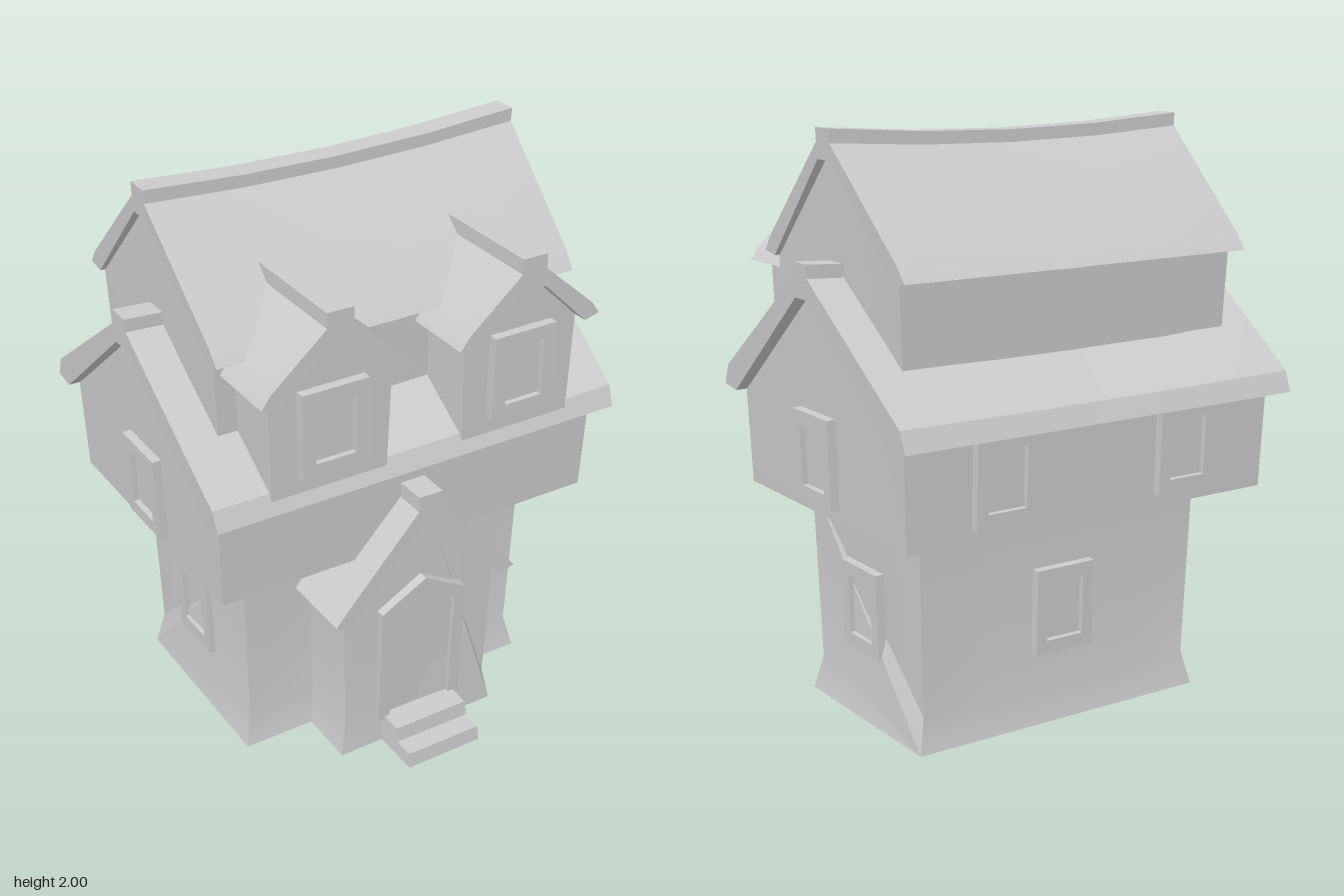
import * as THREE from 'three';
import { toCreasedNormals } from 'three/addons/utils/BufferGeometryUtils.js';

const grey = new THREE.MeshStandardMaterial({ color: 0xcccccc });
const CENTRE_Z = -0.08;

// Closed outline from the right-hand half of a symmetric profile, listed bottom to top
const mirrored = (half) => [...half, ...half.map(([x, y]) => [-x, y]).reverse()];
const shapeOf = (pts) => new THREE.Shape(pts.map(([x, y]) => new THREE.Vector2(x, y)));

// Piecewise linear lookup in a table of [y, value]
function lookup(table, y) {
  let i = 1;
  while (i < table.length - 1 && y > table[i][0]) i++;
  const [y0, a] = table[i - 1], [y1, b] = table[i];
  return a + ((b - a) * (y - y0)) / (y1 - y0);
}

// Prism along z: half length varies with height, and the ridge may sag in the middle
function prism(name, pts, lengths, sag = 0) {
  const geo = new THREE.ExtrudeGeometry(shapeOf(pts), { depth: 2, steps: 4, bevelEnabled: false });
  geo.translate(0, 0, -1);
  const ys = pts.map((p) => p[1]);
  const low = Math.min(...ys), high = Math.max(...ys);
  const pos = geo.attributes.position;
  for (let i = 0; i < pos.count; i++) {
    const y = pos.getY(i), t = pos.getZ(i);
    pos.setZ(i, t * lookup(lengths, y));
    pos.setY(i, y - sag * (1 - t * t) * ((y - low) / (high - low)));
  }
  const mesh = new THREE.Mesh(toCreasedNormals(geo, 0.3), grey);
  mesh.name = name;
  return mesh;
}

// Roof slab with a raised ridge cap; outer runs eave to ridge, inner runs ridge to eave
function roof(name, outer, inner, lengths, sag) {
  const left = outer.map(([x, y]) => [-x, y]).reverse();
  const under = inner.map(([x, y]) => [-x, y]).reverse();
  return prism(name, [...outer, ...left, ...under, ...inner], lengths, sag);
}

// Raised frame around a recessed panel, facing +z
function framedPanel(name, outer, inner, depth, recess) {
  const group = new THREE.Group();
  group.name = name;
  const ring = shapeOf(outer);
  ring.holes.push(shapeOf(inner));
  const add = (label, shape, d) => {
    const m = new THREE.Mesh(new THREE.ExtrudeGeometry(shape, { depth: d, bevelEnabled: false }), grey);
    m.name = label;
    group.add(m);
  };
  add('frame', ring, depth);
  add('panel', shapeOf(inner), depth - recess);
  return group;
}

const rect = (w, h) => [[w / 2, -h / 2], [w / 2, h / 2], [-w / 2, h / 2], [-w / 2, -h / 2]];

// Window sunk 0.02 into the wall at the given point, turned about y and leaning with the wall
function windowAt(name, x, y, z, turn, lean, w = 0.23) {
  const g = framedPanel(name, rect(w, 0.3), rect(0.145, 0.205), 0.05, 0.02);
  g.rotation.set(lean, turn, 0, 'YXZ');
  g.position.set(x - 0.02 * Math.sin(turn), y, z - 0.02 * Math.cos(turn));
  return g;
}

export function createModel() {
  const house = new THREE.Group();
  house.name = 'house';

  // Main storeys and roofs run along x
  const along = (mesh, z = CENTRE_Z) => {
    mesh.rotation.y = Math.PI / 2;
    mesh.position.z = z;
    house.add(mesh);
  };
  along(prism('groundStorey', mirrored([[0.36, 0], [0.335, 0.12], [0.35, 0.76]]),
    [[0, 0.567], [0.12, 0.54], [0.76, 0.56]]), -0.07);
  along(prism('middleStorey', mirrored([[0.512, 0.75], [0.522, 1.1], [0.04, 1.48]]),
    [[0.75, 0.71], [1.1, 0.722], [1.48, 0.73]], 0.03));
  along(prism('upperStorey', mirrored([[0.378, 1.2], [0.39, 1.57], [0.04, 1.91]]),
    [[1.2, 0.635], [1.57, 0.65], [1.91, 0.655]], 0.035));
  along(roof('lowerRoof',
    [[0.6, 1.09], [0.572, 1.16], [0.043, 1.54], [0.043, 1.585]],
    [[0.04, 1.47], [0.52, 1.08]], [[1.08, 0.762], [1.585, 0.78]], 0.03));
  along(roof('upperRoof',
    [[0.45, 1.565], [0.412, 1.615], [0.043, 1.955], [0.043, 2]],
    [[0.04, 1.9], [0.385, 1.555]], [[1.555, 0.668], [2, 0.69]], 0.03));

  // Porch with its gabled roof
  const porch = new THREE.Group();
  porch.name = 'porch';
  const porchWalls = prism('porchWalls',
    mirrored([[0.31, 0], [0.287, 0.12], [0.3, 0.59], [0.032, 0.89]]),
    [[0, 0.2], [0.12, 0.185], [0.59, 0.198], [0.89, 0.2]]);
  porchWalls.position.z = 0.3;
  const porchRoof = roof('porchRoof',
    [[0.357, 0.593], [0.31, 0.65], [0.045, 0.945], [0.045, 1]],
    [[0.03, 0.88], [0.297, 0.575]], [[0.575, 0.145], [1, 0.15]], 0);
  porchRoof.position.z = 0.4;
  porch.add(porchWalls, porchRoof);

  // Pointed door
  const door = framedPanel('door',
    [[0.165, 0.1], [0.168, 0.565], [0, 0.66], [-0.168, 0.565], [-0.165, 0.1]],
    [[0.122, 0.112], [0.125, 0.53], [0, 0.602], [-0.125, 0.53], [-0.122, 0.112]], 0.05, 0.018);
  door.position.z = 0.457;
  door.rotation.x = 0.04;
  porch.add(door);

  // Two steps with sloping fronts
  for (const [y, front] of [[0, 0.675], [0.055, 0.595]]) {
    const step = prism('step', mirrored([[0.145, y], [0.142, y + 0.055]]),
      [[y, front - 0.45], [y + 0.055, front - 0.462]]);
    step.position.z = 0.45;
    // Keep the back of the step inside the porch
    step.scale.z = 0.5;
    step.position.z = 0.45 + (front - 0.45) / 2;
    porch.add(step);
  }
  house.add(porch);

  // Dormers, mirrored left and right
  for (const side of [-1, 1]) {
    const dormer = new THREE.Group();
    dormer.name = side > 0 ? 'leftDormer' : 'rightDormer';
    const walls = prism('dormerWalls',
      mirrored([[0.21, 1.135], [0.22, 1.5], [0.045, 1.67]]), [[1.1, 0.155], [1.7, 0.165]]);
    walls.position.z = 0.35;
    const cover = roof('dormerRoof',
      [[0.272, 1.505], [0.243, 1.547], [0.047, 1.718], [0.047, 1.77]],
      [[0.045, 1.657], [0.217, 1.49]], [[1.49, 0.235], [1.77, 0.237]], 0);
    cover.position.z = 0.333;
    dormer.add(walls, cover, windowAt('dormerWindow', 0, 1.35, 0.515, 0, 0, 0.24));
    dormer.position.x = side * 0.355;
    house.add(dormer);

    // Gable-end windows and rear windows of the middle storey
    const turn = (side * Math.PI) / 2;
    house.add(
      windowAt('lowerSideWindow', side * 0.549, 0.4, -0.07, turn, 0.03),
      windowAt('upperSideWindow', side * 0.717, 0.945, -0.07, turn, 0.03),
      windowAt('upperBackWindow', side * 0.36, 0.945, -0.598, Math.PI, 0.03));
  }
  house.add(windowAt('lowerBackWindow', 0, 0.4, -0.412, Math.PI, 0.025));
  return house;
}
